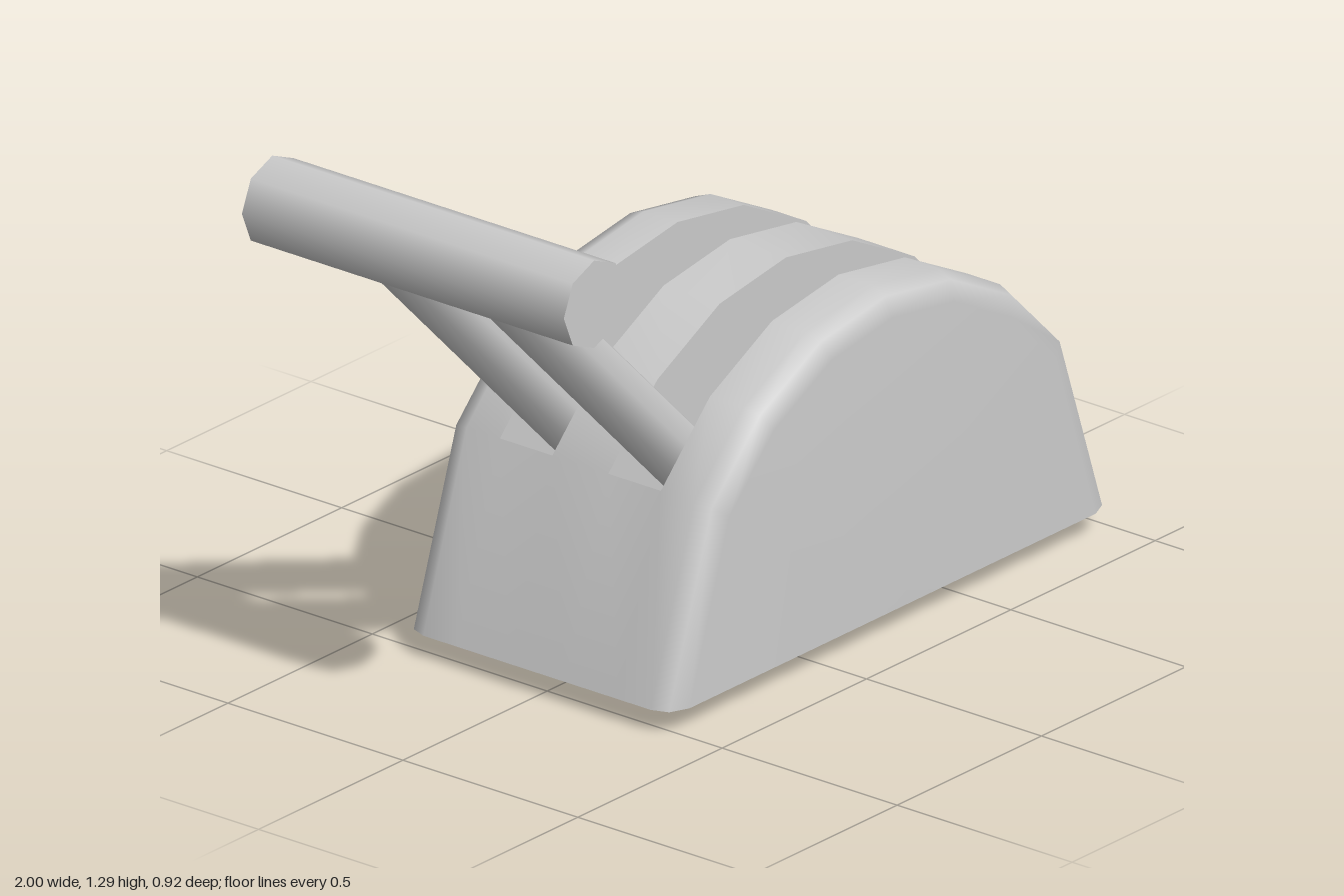
import * as THREE from 'three';
import { toCreasedNormals } from 'three/addons/utils/BufferGeometryUtils.js';

const CX = 0.23, BASE = 0.055;
// Arched profile of the housing, relative to its base centre
const PROFILE = [[-0.765, 0], [-0.615, 0.45], [-0.445, 0.62], [-0.23, 0.73], [0, 0.765],
  [0.23, 0.73], [0.445, 0.62], [0.615, 0.45], [0.765, 0]];
const N = PROFILE.length;
const SLOT_IN = 0.08, SLOT_OUT = 0.23, SLOT_SCALE = 0.645;

const material = new THREE.MeshStandardMaterial({ color: 0xcccccc, side: THREE.DoubleSide });

function point(i, scale, z) {
  return [CX + PROFILE[i][0] * scale, BASE + PROFILE[i][1] * scale, z];
}

function makeMesh(name, geometry) {
  const mesh = new THREE.Mesh(geometry, material);
  mesh.name = name;
  return mesh;
}

function indexed(positions, index) {
  const g = new THREE.BufferGeometry();
  g.setAttribute('position', new THREE.Float32BufferAttribute(positions.flat(), 3));
  g.setIndex(index);
  g.computeVertexNormals();
  return g;
}

// Open-bottomed shell with rounded rims and two openings over the arch
function housingGeometry() {
  const half = [[SLOT_IN, 1], [SLOT_OUT, 1], [0.325, 1], [0.365, 0.98], [0.385, 0.92]];
  const rings = [...half.map(([z, s]) => [-z, s]).reverse(), ...half];
  const positions = [], index = [];
  rings.forEach(([z, s]) => { for (let i = 0; i < N; i++) positions.push(point(i, s, z)); });
  for (let r = 0; r < rings.length - 1; r++) {
    const mid = Math.abs(rings[r][0] + rings[r + 1][0]) / 2;
    const slotted = mid > SLOT_IN && mid < SLOT_OUT;
    for (let i = 0; i < N - 1; i++) {
      if (slotted && i > 0 && i < N - 2) continue;
      const a = r * N + i, b = a + 1, c = a + N, d = c + 1;
      index.push(a, c, b, b, c, d);
    }
  }
  // Flat side walls
  for (const [r, back] of [[0, true], [rings.length - 1, false]]) {
    const centre = positions.length;
    positions.push([CX, BASE, rings[r][0]]);
    for (let i = 0; i < N - 1; i++) {
      const a = r * N + i;
      if (back) index.push(centre, a, a + 1);
      else index.push(centre, a + 1, a);
    }
  }
  return indexed(positions, index);
}

// Recessed channel: curved floor, two side walls and two end walls
function slotGeometry(z0, z1) {
  const positions = [], index = [], last = N - 2;
  for (let i = 1; i <= last; i++) {
    positions.push(point(i, 1, z0), point(i, SLOT_SCALE, z0), point(i, SLOT_SCALE, z1), point(i, 1, z1));
  }
  const quad = (a, b, c, d) => index.push(a, b, c, a, c, d);
  for (let i = 0; i < last - 1; i++) {
    const p = i * 4, q = p + 4;
    for (let k = 0; k < 3; k++) quad(p + k, p + k + 1, q + k + 1, q + k);
  }
  const e = (last - 1) * 4;
  quad(0, 3, 2, 1);
  quad(e, e + 1, e + 2, e + 3);
  return toCreasedNormals(indexed(positions, index), 0.7);
}

export function createModel() {
  const group = new THREE.Group();
  group.name = 'leverControl';

  group.add(makeMesh('housing', housingGeometry()));

  // Slots and the lever arms that run through them
  const top = new THREE.Vector2(-0.845, 1.13), bottom = new THREE.Vector2(0.233, 0.054);
  for (const [side, s] of [['Front', 1], ['Back', -1]]) {
    const zs = [s * SLOT_IN, s * SLOT_OUT].sort((a, b) => a - b);
    group.add(makeMesh('slot' + side, slotGeometry(zs[0], zs[1])));

    const arm = makeMesh('leverArm' + side,
      new THREE.CylinderGeometry(0.076, 0.076, top.distanceTo(bottom), 8, 1, true));
    arm.position.set((top.x + bottom.x) / 2, (top.y + bottom.y) / 2, s * 0.155);
    arm.rotation.z = Math.PI / 4;
    group.add(arm);
  }

  // Cross handle
  const handle = makeMesh('handle', new THREE.CylinderGeometry(0.105, 0.105, 0.92, 8));
  handle.position.set(-0.895, 1.185, 0);
  handle.rotation.x = Math.PI / 2;
  group.add(handle);

  return group;
}
